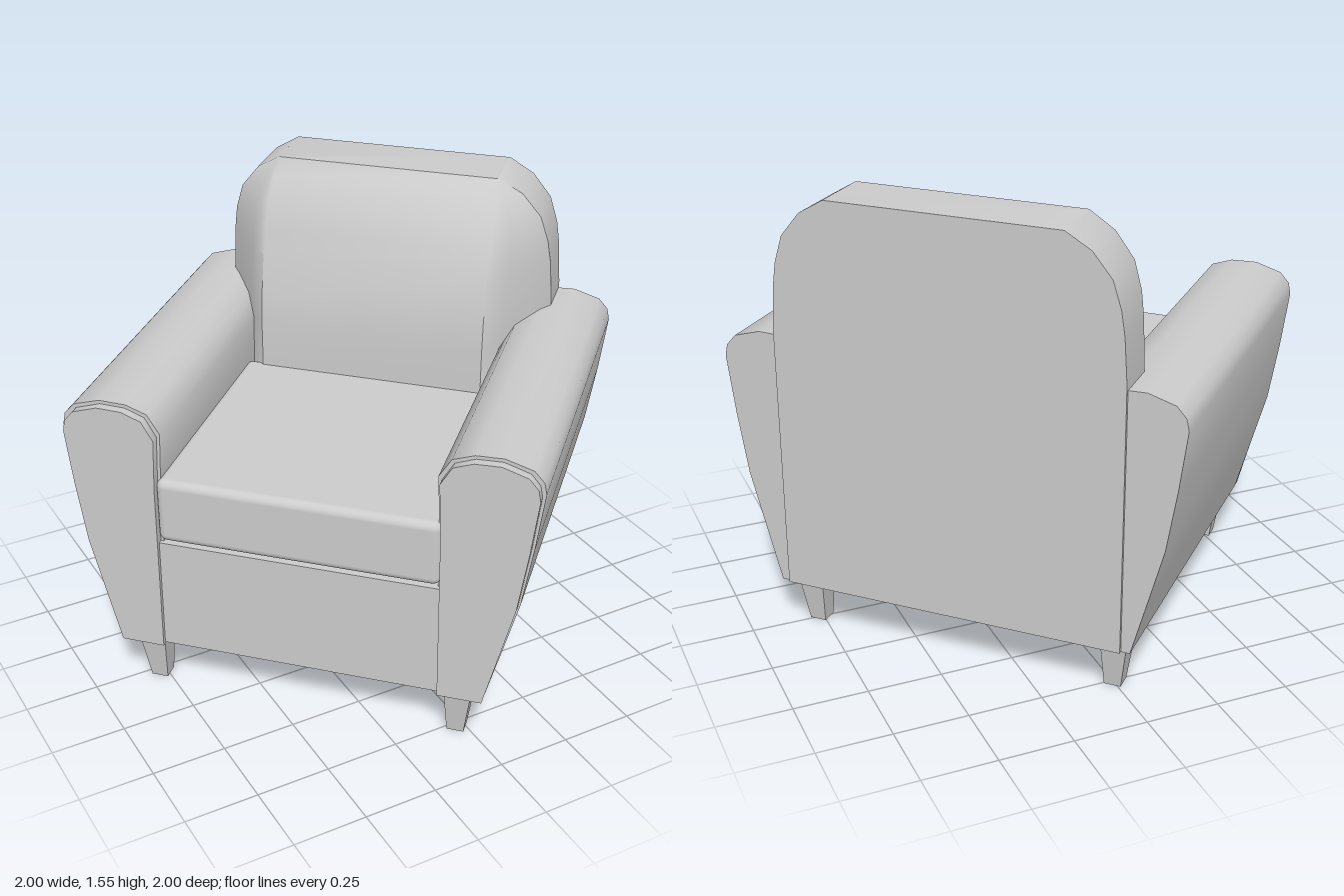
import * as THREE from 'three';
import { toCreasedNormals } from 'three/addons/utils/BufferGeometryUtils.js';
import { RoundedBoxGeometry } from 'three/addons/geometries/RoundedBoxGeometry.js';

// Double sided because the upholstered shells are open underneath
const material = new THREE.MeshStandardMaterial({ color: 0xcccccc, side: THREE.DoubleSide });
const BASE = 0.185; // lower edge of the upholstery

function add(parent, name, geometry, x = 0, y = 0, z = 0) {
  const mesh = new THREE.Mesh(geometry, material);
  mesh.name = name;
  mesh.position.set(x, y, z);
  parent.add(mesh);
  return mesh;
}

// Closed skin over convex rings, ordered upwards; each ring runs from +x over +z to -x
function loft(rings, crease) {
  const n = rings[0].length;
  const index = [];
  for (let r = 0; r < rings.length - 1; r++) {
    for (let i = 0; i < n; i++) {
      const a = r * n + i, b = r * n + (i + 1) % n;
      index.push(a, a + n, b, b, a + n, b + n);
    }
  }
  const top = (rings.length - 1) * n;
  for (let i = 1; i < n - 1; i++) {
    index.push(0, i, i + 1, top, top + i + 1, top + i);
  }
  const geometry = new THREE.BufferGeometry();
  geometry.setAttribute('position', new THREE.Float32BufferAttribute(rings.flat(2), 3));
  geometry.setIndex(index);
  return toCreasedNormals(geometry, crease);
}

// Removes the underside triangles of a non-indexed geometry
function openBottom(geometry) {
  const p = geometry.getAttribute('position');
  const keep = [];
  for (let i = 0; i < p.count; i += 3) {
    if (Math.max(p.getY(i), p.getY(i + 1), p.getY(i + 2)) > BASE + 0.001) keep.push(i, i + 1, i + 2);
  }
  geometry.clearGroups();
  geometry.setIndex(keep);
  return geometry;
}

// Backrest cross-section: flat rear, shallow sides, slanted shoulders, flat front
function backRing([y, w, sideZ, c, frontZ]) {
  const half = [[w, -0.645], [w, sideZ]];
  for (const [u, v] of [[0.35, 0.37], [0.65, 0.69], [0.85, 0.91], [1, 1]]) {
    half.push([w + (c - w) * u, sideZ + (frontZ - sideZ) * v]);
  }
  const mirrored = half.map(([x, z]) => [-x, z]).reverse();
  return [...half, ...mirrored].map(([x, z]) => [x, y, z]);
}

// Arm outline: flared outside, rolled top, nearly upright inside
const armOutline = [
  [0.462, BASE], [0.62, BASE], [0.672, 0.38], [0.722, 0.57], [0.755, 0.78], [0.78, 0.98],
  [0.772, 1.02], [0.74, 1.056], [0.65, 1.083], [0.56, 1.08], [0.49, 1.055], [0.45, 0.99], [0.458, 0.8],
];

function armGeometry(side, z0, z1, sx, sy) {
  const shape = new THREE.Shape(armOutline.map(([x, y]) => new THREE.Vector2(
    side * (0.61 + (x - 0.61) * sx), BASE + (y - BASE) * sy)));
  const geometry = new THREE.ExtrudeGeometry(shape, { depth: z1 - z0, bevelEnabled: false });
  geometry.translate(0, 0, z0);
  return toCreasedNormals(geometry, 0.75);
}

// Square tapered leg, its foot drawn inwards from the outer corner
function legGeometry(sx, sz, x, z) {
  const ring = (y, inner, outer) => {
    const xs = [sx * (x + inner), sx * (x + outer)].sort((a, b) => a - b);
    const zs = [sz * (z + inner), sz * (z + outer)].sort((a, b) => a - b);
    return [[xs[1], y, zs[0]], [xs[1], y, zs[1]], [xs[0], y, zs[1]], [xs[0], y, zs[0]]];
  };
  return loft([ring(0, 0.01, 0.067), ring(BASE + 0.01, 0, 0.095)], 0.3);
}

export function createModel() {
  const model = new THREE.Group();
  model.name = 'armchair';
  const chair = new THREE.Group();
  chair.name = 'chairBody';
  chair.rotation.y = -Math.PI / 4; // the chair stands diagonally
  model.add(chair);

  // Backrest: [height, half width, side edge z, front half width, front z]
  add(chair, 'backrest', openBottom(loft([
    [BASE, 0.59, -0.48, 0.55, -0.225],
    [0.6, 0.59, -0.48, 0.55, -0.225],
    [0.8, 0.59, -0.48, 0.40, -0.222],
    [1.0, 0.59, -0.48, 0.40, -0.222],
    [1.1, 0.59, -0.48, 0.40, -0.23],
    [1.25, 0.58, -0.47, 0.40, -0.26],
    [1.33, 0.568, -0.46, 0.40, -0.285],
    [1.42, 0.54, -0.45, 0.40, -0.325],
    [1.5, 0.475, -0.44, 0.395, -0.38],
    [1.55, 0.39, -0.43, 0.385, -0.425],
  ].map(backRing), 0.6)));

  // Arms with a slightly smaller facing panel in front
  for (const [side, label] of [[1, 'left'], [-1, 'right']]) {
    add(chair, label + 'Arm', openBottom(armGeometry(side, -0.634, 0.62, 1, 1)));
    add(chair, label + 'ArmPanel', armGeometry(side, 0.62, 0.65, 0.93, 0.987));
    add(chair, label + 'FrontLeg', legGeometry(side, 1, 0.485, 0.517));
    add(chair, label + 'BackLeg', legGeometry(side, -1, 0.5, 0.488));
  }

  // Seat cushion on a raised deck, with a thin apron in front
  add(chair, 'seatCushion', new RoundedBoxGeometry(0.94, 0.23, 0.9, 3, 0.028), 0, 0.716, 0.195);
  add(chair, 'seatDeck', new THREE.BoxGeometry(0.93, 0.255, 0.84), 0, 0.4625, 0.195);
  add(chair, 'frontApron', new THREE.BoxGeometry(0.95, 0.4, 0.03), 0, 0.39, 0.62);

  return model;
}
